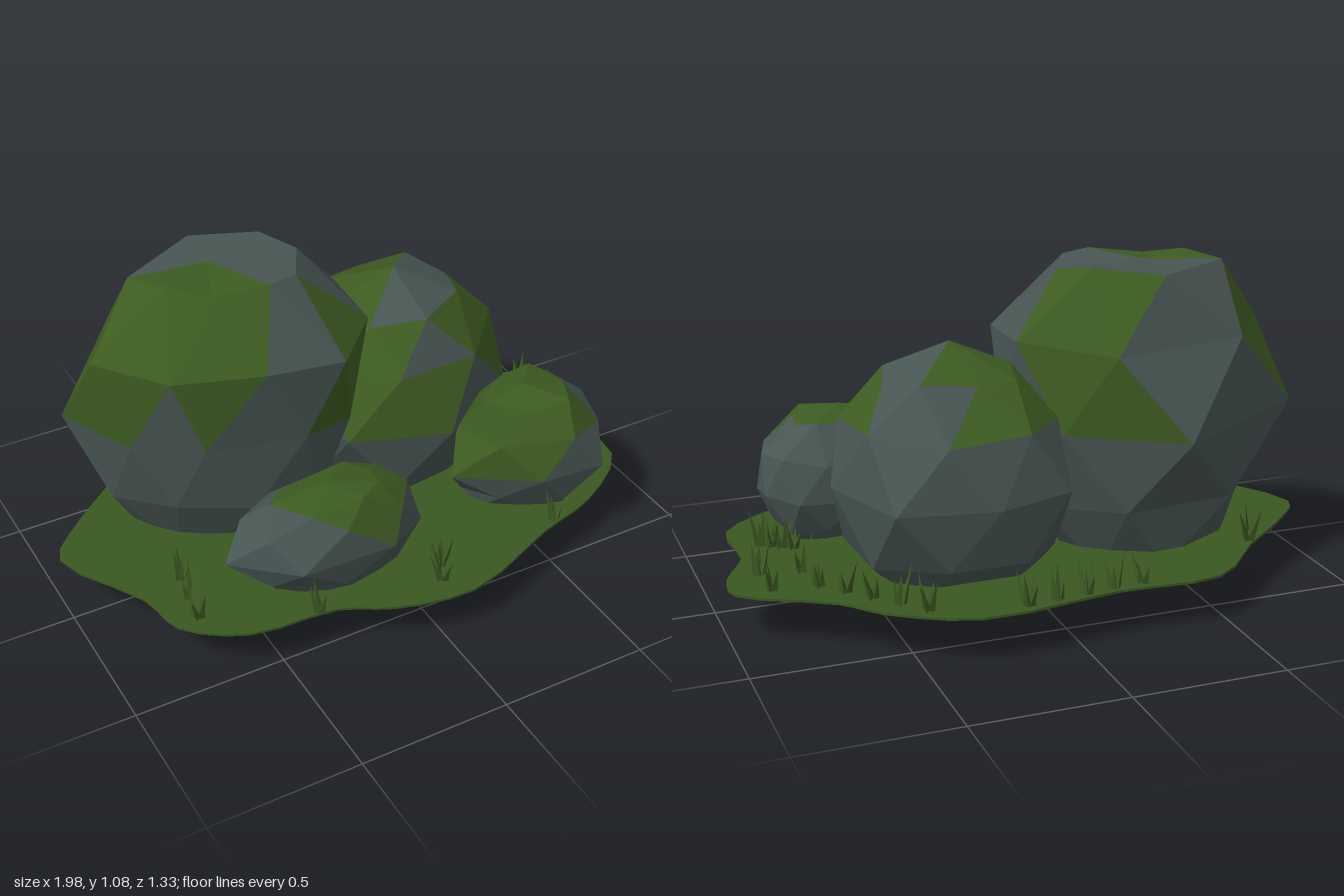
import * as THREE from 'three';
import { mergeGeometries } from 'three/addons/utils/BufferGeometryUtils.js';

const stone = new THREE.MeshStandardMaterial({ name: 'stone', color: 0x475553, flatShading: true });
const moss = new THREE.MeshStandardMaterial({ name: 'moss', color: 0x3d5b21, flatShading: true });
const turf = new THREE.MeshStandardMaterial({ name: 'turf', color: 0x3a5821 });
const grass = new THREE.MeshStandardMaterial({ name: 'grass', color: 0x3c5a22, flatShading: true });

function seeded(seed) {
  return () => {
    seed = (seed * 16807) % 2147483647;
    return seed / 2147483647;
  };
}

// Faceted boulder: a plan outline scaled about its heart at several levels [y, scale, shiftX, shiftZ].
// Odd levels use the bulged midpoints of the outline, so the facets interlock.
// Facets whose centre lies inside a moss patch [x, y, z, radius] become moss.
function boulder(name, [heartX, heartZ], [lowY, highY], plan, levels, patches) {
  const sides = plan.length;
  const loops = levels.map(([y, scale, dx = 0, dz = 0], k) => plan.map(([x, z], i) => {
    const [nx, nz] = k % 2 ? plan[(i + 1) % sides] : [x, z];
    const grow = k % 2 ? scale * 1.06 : scale;
    const wobble = 0.012 * Math.sin(i * 2.4 + k);
    return new THREE.Vector3(
      heartX + ((x + nx) / 2 - heartX) * grow + dx,
      y + wobble,
      heartZ + ((z + nz) / 2 - heartZ) * grow + dz,
    );
  }));
  // Each pair of levels shifts by half a side, so odd-to-even steps link to the next corner
  const low = new THREE.Vector3(heartX, lowY, heartZ), high = new THREE.Vector3(heartX, highY, heartZ);
  const first = loops[0], last = loops[loops.length - 1];
  const bare = [], mossy = [];
  const addFace = (...face) => {
    const mid = new THREE.Triangle(...face).getMidpoint(new THREE.Vector3());
    const covered = patches.some(([x, y, z, r]) => mid.distanceTo(new THREE.Vector3(x, y, z)) < r);
    (covered ? mossy : bare).push(...face);
  };
  for (let i = 0; i < sides; i++) {
    const j = (i + 1) % sides;
    addFace(low, first[i], first[j]);
    addFace(high, last[j], last[i]);
    for (let k = 0; k + 1 < loops.length; k++) {
      const a = loops[k], b = loops[k + 1];
      if (k % 2) {
        addFace(a[i], b[j], a[j]);
        addFace(b[i], b[j], a[i]);
      } else {
        addFace(a[i], b[i], a[j]);
        addFace(b[i], b[j], a[j]);
      }
    }
  }
  const geo = new THREE.BufferGeometry().setFromPoints([...bare, ...mossy]);
  geo.addGroup(0, bare.length, 0);
  geo.addGroup(bare.length, mossy.length, 1);
  geo.computeVertexNormals();
  const mesh = new THREE.Mesh(geo, [stone, moss]);
  mesh.name = name;
  return mesh;
}

// Thin patch of ground with a wavy edge
function ground() {
  const outline = [
    [-0.99, -0.11], [-0.88, -0.25], [-0.68, -0.42], [-0.47, -0.62], [-0.13, -0.62], [0.33, -0.665],
    [0.59, -0.53], [0.7, -0.41], [0.98, -0.24], [0.98, -0.12], [0.9, 0.04], [0.9, 0.28],
    [0.68, 0.45], [0.46, 0.52], [0.1, 0.655], [-0.16, 0.61], [-0.32, 0.53], [-0.61, 0.5],
    [-0.79, 0.37], [-0.83, 0.2],
  ];
  const edge = new THREE.CatmullRomCurve3(outline.map(([x, z]) => new THREE.Vector3(x, -z, 0)), true);
  const shape = new THREE.Shape(edge.getPoints(60).slice(0, -1).map((p) => new THREE.Vector2(p.x, p.y)));
  const geo = new THREE.ExtrudeGeometry(shape, { depth: 0.008, bevelEnabled: false });
  geo.rotateX(-Math.PI / 2).translate(0, 0.155, 0);
  const mesh = new THREE.Mesh(geo, turf);
  mesh.name = 'groundPatch';
  return mesh;
}

// Rows of tufts, each with four leaning three-sided blades
function grassTufts() {
  // start x, start z, end x, end z, tuft count
  const rows = [
    [-0.21, -0.6, 0.18, -0.64, 5], [0.47, -0.57, 0.73, -0.28, 5], [0.87, -0.26, 0.88, -0.13, 2],
    [0.75, -0.15, 0.75, -0.15, 1], [0.73, 0.05, 0.82, 0.11, 4], [-0.69, 0.17, -0.72, 0.36, 3],
    [0.06, 0.51, 0.03, 0.57, 2], [-0.68, -0.4, -0.68, -0.4, 1], [-0.38, 0.52, 0.51, 0.49, 2],
  ];
  const rand = seeded(77);
  const blades = [];
  for (const [x0, z0, x1, z1, count] of rows) {
    for (let n = 0; n < count; n++) {
      const f = n / Math.max(count - 1, 1);
      const turn = rand() * Math.PI * 2;
      for (let i = 0; i < 4; i++) {
        const h = 0.06 + rand() * 0.08;
        blades.push(new THREE.ConeGeometry(0.013, h, 3)
          .translate(0, h / 2, 0)
          .rotateZ(-0.1 - rand() * 0.3)
          .translate(0.009, 0, 0)
          .rotateY(turn + (i * Math.PI) / 2 + rand() * 0.5)
          .translate(x0 + (x1 - x0) * f, 0.172, z0 + (z1 - z0) * f));
      }
    }
  }
  const mesh = new THREE.Mesh(mergeGeometries(blades), grass);
  mesh.name = 'grassTufts';
  return mesh;
}

export function createModel() {
  const model = new THREE.Group();
  model.name = 'mossyBoulders';
  model.add(
    ground(),
    grassTufts(),
    boulder('tallBoulder', [-0.4, -0.16], [0.08, 1.075],
      [[0.08, -0.13], [-0.07, 0.15], [-0.25, 0.2], [-0.56, 0.12], [-0.75, -0.03], [-0.88, -0.27], [-0.4, -0.54], [-0.05, -0.34]],
      [[0.085, 0.52], [0.32, 0.86], [0.58, 1], [0.85, 1, 0.02, 0.03], [1.07, 0.56, 0.02, 0.02]],
      [[-0.6, 0.98, 0, 0.27], [-0.05, 0.75, 0.12, 0.2], [-0.1, 0.97, -0.35, 0.24],
        [-0.1, 0.75, -0.4, 0.17], [-0.78, 0.8, -0.12, 0.16]]),
    boulder('roundBoulder', [0.26, -0.155], [0.005, 0.87],
      [[0.66, -0.2], [0.6, 0.03], [0.26, 0.24], [-0.06, 0.12], [-0.09, -0.2], [-0.02, -0.49], [0.22, -0.53], [0.54, -0.49]],
      [[0.09, 0.5], [0.23, 0.86], [0.44, 1], [0.64, 0.88], [0.78, 0.55]],
      [[0.12, 0.8, -0.3, 0.24], [0.5, 0.68, -0.02, 0.19], [0.1, 0.58, 0.1, 0.18]]),
    boulder('lowBoulder', [-0.26, 0.33], [0.09, 0.5],
      [[0.07, 0.27], [0.05, 0.4], [-0.1, 0.5], [-0.42, 0.49], [-0.6, 0.31], [-0.48, 0.19], [-0.3, 0.16], [-0.05, 0.16]],
      [[0.13, 0.5], [0.2, 0.82], [0.3, 1], [0.4, 0.87], [0.465, 0.55]],
      [[-0.17, 0.47, 0.34, 0.21]]),
    boulder('smallBoulder', [0.51, 0.26], [0.055, 0.575],
      [[0.79, 0.15], [0.785, 0.3], [0.7, 0.48], [0.48, 0.46], [0.24, 0.28], [0.34, 0.14], [0.52, 0.04], [0.7, 0.05]],
      [[0.13, 0.55], [0.2, 0.82], [0.31, 1], [0.44, 0.92], [0.54, 0.55]],
      [[0.45, 0.5, 0.33, 0.24]]),
  );
  return model;
}
